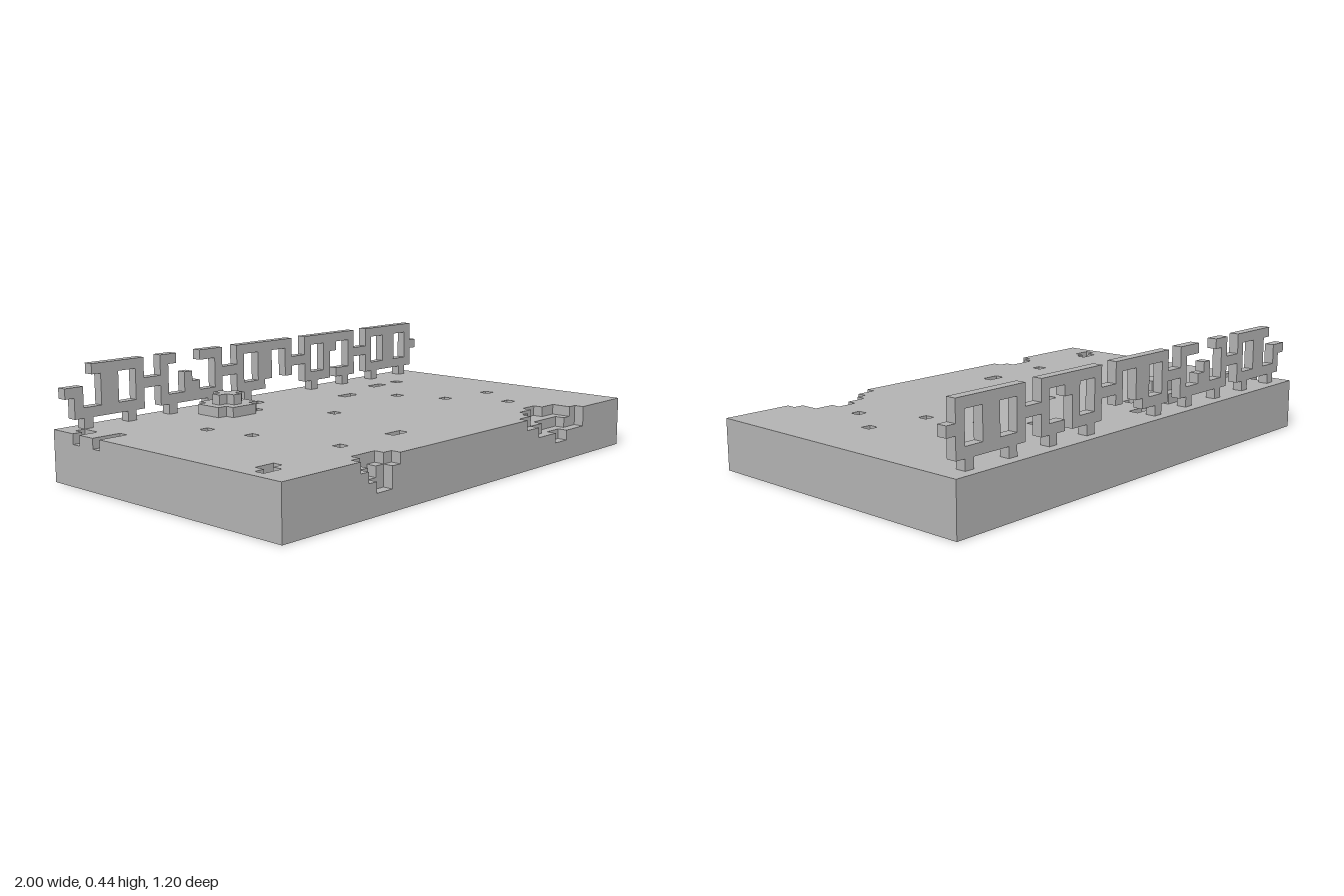
import * as THREE from 'three';
import { mergeGeometries } from 'three/addons/utils/BufferGeometryUtils.js';

// Everything sits on a grid of 50 x 30 cells; i runs along x, k along z.
const U = 0.04, NX = 50, NZ = 30;
const toX = i => (i - NX / 2) * U;
const toZ = k => (k - NZ / 2) * U;
const points = cells => cells.map(([i, k]) => new THREE.Vector2(toX(i), toZ(k)));

// Flat plate with a stepped outline and holes, lying between rows y0 and y0 + h
function plate(outline, y0, h = 1, holes = []) {
  const shape = new THREE.Shape(points(outline));
  holes.forEach(hole => shape.holes.push(new THREE.Path(points(hole))));
  const geo = new THREE.ExtrudeGeometry(shape, { depth: h * U, bevelEnabled: false });
  return geo.rotateX(Math.PI / 2).translate(0, (y0 + h) * U, 0);
}

const rect = (i, k, w = 1, d = 1) => [[i, k], [i + w, k], [i + w, k + d], [i, k + d]];

// Square of n cells with its four corner cells missing
function clippedSquare(i, k, n) {
  const a = i + 1, b = i + n - 1, c = k + 1, d = k + n - 1;
  return [[a, k], [b, k], [b, c], [i + n, c], [i + n, d], [b, d],
    [b, k + n], [a, k + n], [a, d], [i, d], [i, c], [a, c]];
}

// Slab outline whose front edge carries the given chips (listed right to left)
const slabOutline = (chips, leftEdge = []) =>
  [[0, 0], [NX, 0], [NX, NZ], ...chips, [0, NZ], ...leftEdge];

export function createModel() {
  const group = new THREE.Group();
  const stone = new THREE.MeshStandardMaterial({ color: 0xb2b2b2 });
  stone.name = 'stone grey';
  const add = (name, geo) => {
    const mesh = new THREE.Mesh(geo, stone);
    mesh.name = name;
    group.add(mesh);
  };

  // Slab base and the two layers bitten by the front chips
  add('slabBase', plate(rect(0, 0, NX, NZ), 0, 2));
  add('slabLowerLayer', plate(slabOutline([
    [40, 30], [40, 29], [38, 29], [38, 30],
    [13, 30], [13, 29], [11, 29], [11, 30]]), 2));
  add('slabMiddleLayer', plate(slabOutline([
    [43, 30], [43, 29], [41, 29], [41, 28], [37, 28], [37, 29], [35, 29], [35, 30],
    [13, 30], [13, 29], [12, 29], [12, 28], [11, 28], [11, 29], [10, 29], [10, 30]]), 3));

  // Top layer with widest chips, worn left edge and shallow pits
  const frontChips = [
    [43, 30], [43, 29], [42, 29], [42, 27], [40, 27], [40, 26], [38, 26], [38, 27],
    [36, 27], [36, 28], [35, 28], [35, 29], [33, 29], [33, 30],
    [14, 30], [14, 29], [13, 29], [13, 28], [10, 28], [10, 29], [9, 29], [9, 30]];
  const leftEdge = [[0, 7], [3, 7], [3, 6], [0, 6], [0, 4], [2, 4], [2, 2], [1, 2], [1, 3], [0, 3]];
  const pits = [[21, 3, 2], [31, 7, 2], [38, 5, 2], [42, 5], [9, 10], [35, 11], [23, 13],
    [10, 15], [37, 16], [43, 17], [40, 22], [12, 24], [19, 24, 2], [19, 6]]
    .map(([i, k, w]) => rect(i, k, w));
  pits.push([[2, 25], [4, 25], [4, 26], [3, 26], [3, 27], [1, 27], [1, 26], [2, 26]]);
  add('slabTopLayer', plate(slabOutline(frontChips, leftEdge), 4, 1, pits));

  // Stepped mound
  add('moundBase', plate(clippedSquare(14, 3, 5), 5));
  add('moundTop', plate(clippedSquare(15, 4, 3), 6));

  // Fence: five double frames of 8 cells joined by links, with broken cells left out
  const broken = new Set(['1,4', '1,5', '2,5', '13,5', '14,5', '15,5', '14,4', '15,4', '15,3',
    '25,1', '26,1', '27,1', '28,1', '27,0', '35,1', '35,2', '35,3']);
  const solid = (i, j) => {
    if (i >= NX || broken.has(`${i},${j}`)) return false;
    const u = (i + 9) % 10;
    if (u > 7) return j === 3;                 // link between frames
    if (j === 0) return u === 1 || u === 6;    // feet
    if (j === 1 || j === 5) return true;       // rails
    return [0, 3, 4, 7].includes(u);           // posts
  };
  const bars = [];
  for (let j = 0; j < 6; j++) {
    for (let i = 0; i < NX; i++) {
      const start = i;
      while (solid(i, j)) i++;
      if (i > start) {
        bars.push(new THREE.BoxGeometry((i - start) * U, U, U)
          .translate((toX(start) + toX(i)) / 2, (j + 5.5) * U, toZ(1.5)));
      }
    }
  }
  add('brokenFence', mergeGeometries(bars));

  return group;
}
